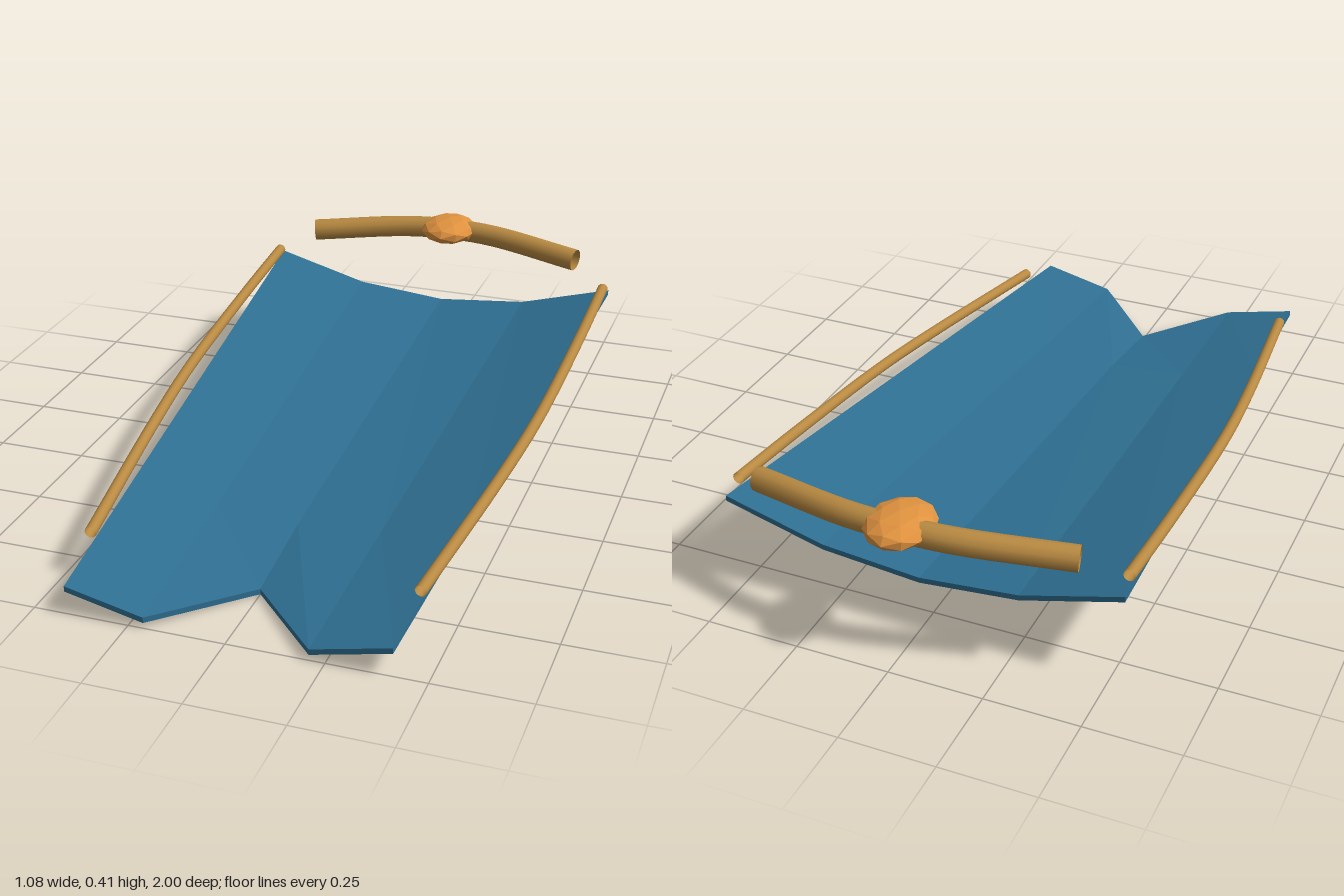
import * as THREE from 'three';

const cloth = new THREE.MeshStandardMaterial({ color: 0x2f6f92, flatShading: true });
const rope = new THREE.MeshStandardMaterial({ color: 0xb98a42, side: THREE.DoubleSide });
const gem = new THREE.MeshStandardMaterial({ color: 0xe0923f, flatShading: true });

// Cloth: cross-sections from back to front, each given as [x, y, z] from the middle outward
const ROWS = [
  [[0, 0.16, -0.82], [0.265, 0.185, -0.82], [0.535, 0.26, -0.82]],
  [[0, 0.055, 0.5], [0.225, 0.073, 0.5], [0.448, 0.13, 0.5]],
  [[0, 0.018, 0.77], [0.21, 0.033, 1], [0.415, 0.08, 1]], // notched hem
];
const THICKNESS = 0.015;

function clothGeometry() {
  const top = ROWS.map(([m, a, b]) => {
    const flip = ([x, y, z]) => [-x, y, z];
    return [flip(b), flip(a), m, a, b];
  });
  const low = top.map(row => row.map(([x, y, z]) => [x, y - THICKNESS, z]));
  const pos = [];
  const quad = (a, b, c, d) => pos.push(...a, ...b, ...c, ...a, ...c, ...d);
  const R = top.length - 1, C = top[0].length - 1;
  for (let r = 0; r < R; r++) {
    for (let c = 0; c < C; c++) {
      quad(top[r][c], top[r + 1][c], top[r + 1][c + 1], top[r][c + 1]);
      quad(low[r][c], low[r][c + 1], low[r + 1][c + 1], low[r + 1][c]);
    }
    // side edges
    quad(top[r][0], low[r][0], low[r + 1][0], top[r + 1][0]);
    quad(top[r + 1][C], low[r + 1][C], low[r][C], top[r][C]);
  }
  for (let c = 0; c < C; c++) {
    // back edge and hem
    quad(top[0][c + 1], low[0][c + 1], low[0][c], top[0][c]);
    quad(top[R][c], low[R][c], low[R][c + 1], top[R][c + 1]);
  }
  const g = new THREE.BufferGeometry();
  g.setAttribute('position', new THREE.Float32BufferAttribute(pos, 3));
  g.computeVertexNormals();
  return g;
}

// Open-ended tube through a few points
function tube(name, points, radius) {
  const curve = new THREE.CatmullRomCurve3(points.map(p => new THREE.Vector3(...p)));
  const mesh = new THREE.Mesh(new THREE.TubeGeometry(curve, 24, radius, 12), rope);
  mesh.name = name;
  return mesh;
}

export function createModel() {
  const group = new THREE.Group();
  group.name = 'cape';

  const sheet = new THREE.Mesh(clothGeometry(), cloth);
  sheet.name = 'capeCloth';
  group.add(sheet);

  // Trim following each side edge
  for (const [name, s] of [['leftTrim', 1], ['rightTrim', -1]]) {
    group.add(tube(name, [
      [s * 0.526, 0.285, -0.77],
      [s * 0.525, 0.256, -0.47],
      [s * 0.513, 0.21, 0],
      [s * 0.488, 0.18, 0.3],
      [s * 0.427, 0.13, 0.825],
    ], 0.0155));
  }

  // Collar bar across the shoulders
  group.add(tube('collar', [
    [-0.425, 0.343, -0.827],
    [-0.14, 0.363, -0.9],
    [0, 0.366, -0.91],
    [0.14, 0.363, -0.9],
    [0.425, 0.343, -0.827],
  ], 0.033));

  // Faceted clasp
  const clasp = new THREE.Mesh(new THREE.IcosahedronGeometry(1, 1), gem);
  clasp.name = 'clasp';
  clasp.scale.set(0.087, 0.038, 0.102);
  clasp.position.set(0, 0.372, -0.898);
  group.add(clasp);

  return group;
}
